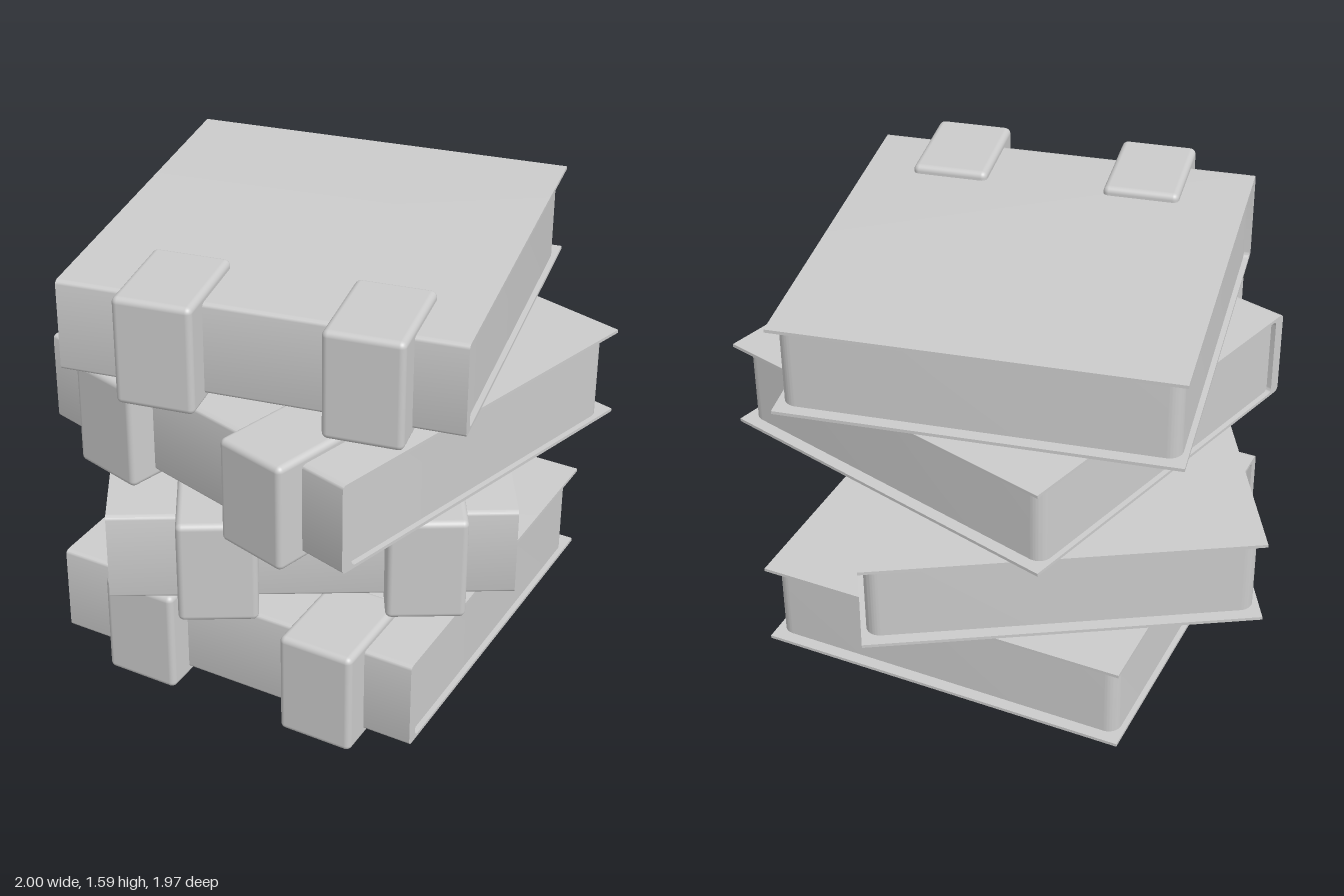
import * as THREE from 'three';
import { RoundedBoxGeometry } from 'three/addons/geometries/RoundedBoxGeometry.js';
import { toCreasedNormals } from 'three/addons/utils/BufferGeometryUtils.js';

const WIDTH = 1.42, DEPTH = 1.43, HEIGHT = 0.34;
const COVER = 0.012, SPINE = 0.045;
const BAND_HEIGHT = 0.4, PITCH = 0.396;

const material = new THREE.MeshStandardMaterial({ color: 0xcccccc });

function part(name, geometry) {
  const mesh = new THREE.Mesh(geometry, material);
  mesh.name = name;
  return mesh;
}

// U-shaped cover: two thin boards joined by a spine with softened edges
function coverGeometry() {
  const f = DEPTH / 2, h = HEIGHT / 2, r = 0.02;
  const s = new THREE.Shape();
  s.moveTo(-f, -h);
  s.lineTo(f - r, -h);
  s.quadraticCurveTo(f, -h, f, -h + r);
  s.lineTo(f, h - r);
  s.quadraticCurveTo(f, h, f - r, h);
  s.lineTo(-f, h);
  s.lineTo(-f, h - COVER);
  s.lineTo(f - SPINE - r, h - COVER);
  s.quadraticCurveTo(f - SPINE, h - COVER, f - SPINE, h - COVER - r);
  s.lineTo(f - SPINE, -h + COVER + r);
  s.quadraticCurveTo(f - SPINE, -h + COVER, f - SPINE - r, -h + COVER);
  s.lineTo(-f, -h + COVER);
  s.closePath();
  const g = new THREE.ExtrudeGeometry(s, { depth: WIDTH, bevelEnabled: false, curveSegments: 6 });
  g.translate(0, 0, -WIDTH / 2);
  g.rotateY(-Math.PI / 2);
  return toCreasedNormals(g, 0.6);
}

// Page block with rounded vertical corners, set back from the cover edges
function pagesGeometry() {
  const x = WIDTH / 2 - 0.02, back = DEPTH / 2 - 0.045, front = -(DEPTH / 2 - SPINE + 0.005), r = 0.05;
  const s = new THREE.Shape();
  s.moveTo(-x, front);
  s.lineTo(x, front);
  s.lineTo(x, back - r);
  s.absarc(x - r, back - r, r, 0, Math.PI / 2);
  s.lineTo(-x + r, back);
  s.absarc(-x + r, back - r, r, Math.PI / 2, Math.PI);
  s.closePath();
  const depth = HEIGHT - COVER;
  const g = new THREE.ExtrudeGeometry(s, { depth, bevelEnabled: false, curveSegments: 8 });
  g.translate(0, 0, -depth / 2);
  g.rotateX(-Math.PI / 2);
  return toCreasedNormals(g, 0.6);
}

export function createModel() {
  const model = new THREE.Group();
  model.name = 'bookStack';
  const cover = coverGeometry();
  const pages = pagesGeometry();
  const band = new RoundedBoxGeometry(0.28, BAND_HEIGHT, 0.39, 4, 0.022);

  // Centre x, centre z and turn in degrees, from the bottom book up
  const books = [
    [0.08, 0.02, 0],
    [-0.03, -0.013, 30.5],
    [0.125, 0.057, -15],
    [0.043, -0.003, 11],
  ];
  books.forEach(([x, z, turn], i) => {
    const book = new THREE.Group();
    book.name = `book${i + 1}`;
    book.add(part('cover', cover), part('pages', pages));
    // Raised bands wrapped over the spine
    for (const [name, bx] of [['rightBand', -0.328], ['leftBand', 0.39]]) {
      const b = part(name, band);
      b.position.set(bx, 0, 0.625);
      book.add(b);
    }
    book.position.set(x, BAND_HEIGHT / 2 + i * PITCH, z);
    book.rotation.y = THREE.MathUtils.degToRad(turn);
    model.add(book);
  });
  return model;
}
